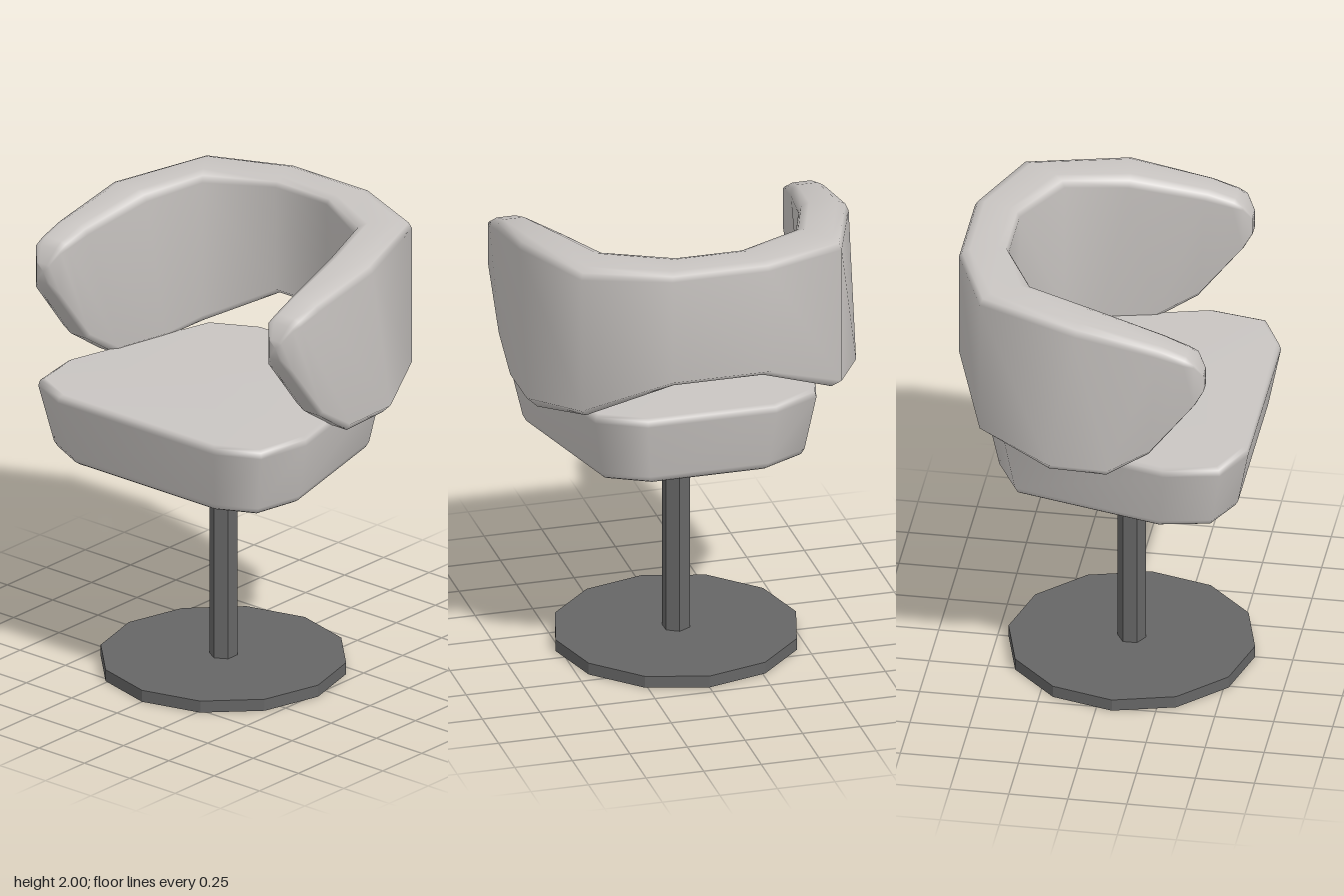
import * as THREE from 'three';

// Skins a list of closed cross-sections and caps both ends, with shared smooth normals.
function loft(rings) {
  const n = rings[0].length;
  const pos = rings.flat().flatMap((p) => [p.x, p.y, p.z]);
  const index = [];
  for (let i = 0; i < rings.length - 1; i++) {
    for (let j = 0; j < n; j++) {
      const a = i * n + j, b = i * n + (j + 1) % n;
      index.push(a, b, b + n, a, b + n, a + n);
    }
  }
  const cap = (ring, start, flip) => {
    const c = ring.reduce((s, p) => s.add(p), new THREE.Vector3()).divideScalar(n);
    const k = pos.length / 3;
    pos.push(c.x, c.y, c.z);
    for (let j = 0; j < n; j++) {
      const a = start + j, b = start + (j + 1) % n;
      index.push(...(flip ? [k, b, a] : [k, a, b]));
    }
  };
  cap(rings[0], 0, true);
  cap(rings[rings.length - 1], (rings.length - 1) * n, false);
  const g = new THREE.BufferGeometry();
  g.setAttribute('position', new THREE.Float32BufferAttribute(pos, 3));
  g.setIndex(index);
  g.computeVertexNormals();
  return g;
}

// Seat cushion: a chamfered trapezoid, tapered downward with rounded rims
function seatGeometry() {
  const half = [[0.43, 0.565], [0.615, 0.475], [0.66, 0.24], [0.48, -0.46], [0.28, -0.565]];
  const outline = [...half, ...half.map(([x, z]) => [-x, z]).reverse()];
  const levels = [[0.965, 0.87], [0.975, 0.893], [1.0, 0.915], [1.25, 1], [1.275, 0.99], [1.285, 0.965]];
  return loft(levels.map(([y, s]) =>
    outline.map(([x, z]) => new THREE.Vector3(x * s, y, 0.065 + z * s))));
}

// Wraparound back: bevelled sections swept from one arm tip to the other
function backGeometry() {
  // outer x, inner x, outer z, inner z, z shift of the lower edge, top y, bottom y
  const half = [
    [0.21, 0.14, -0.63, -0.43, 0, 2.0, 1.475],
    [0.565, 0.42, -0.485, -0.285, 0, 2.0, 1.315],
    [0.715, 0.505, -0.05, -0.02, -0.13, 1.975, 1.253],
    [0.715, 0.56, 0.3, 0.3, -0.23, 1.905, 1.253],
    [0.715, 0.57, 0.41, 0.41, -0.16, 1.865, 1.375],
    [0.71, 0.572, 0.445, 0.445, 0.0, 1.84, 1.63],
    [0.675, 0.605, 0.48, 0.48, 0, 1.775, 1.69],
  ];
  const profile = [
    [0.22, 0], [0, 0.06], [0, 0.94], [0.06, 0.98], [0.22, 1],
    [0.78, 1], [0.94, 0.98], [1, 0.94], [1, 0.06], [0.78, 0],
  ];
  const section = ([ox, ix, oz, iz, dz, top, bottom], side) => profile.map(([u, v]) =>
    new THREE.Vector3(
      side * THREE.MathUtils.lerp(ox, ix, u),
      THREE.MathUtils.lerp(bottom, top, v),
      THREE.MathUtils.lerp(oz, iz, u) + dz * (1 - v)));
  return loft([
    ...half.map((s) => section(s, -1)).reverse(),
    ...half.map((s) => section(s, 1)),
  ]);
}

export function createModel() {
  const upholstery = new THREE.MeshStandardMaterial({ color: 0xc9c5c2 });
  upholstery.name = 'warm grey upholstery';
  const metal = new THREE.MeshStandardMaterial({ color: 0x666666 });
  metal.name = 'dark grey metal';

  const model = new THREE.Group();
  model.name = 'swivelChair';
  const add = (name, geometry, material, y = 0, z = 0) => {
    const mesh = new THREE.Mesh(geometry, material);
    mesh.name = name;
    mesh.position.set(0, y, z);
    model.add(mesh);
  };
  // Faceted cylinder with hard edges
  const prism = (r, h, sides) => {
    const g = new THREE.CylinderGeometry(r, r, h, sides).toNonIndexed();
    g.computeVertexNormals();
    return g;
  };

  // Pedestal
  add('baseDisc', prism(0.522, 0.052, 12), metal, 0.026, 0.068);
  add('post', prism(0.06, 0.94, 6), metal, 0.51, 0.068);

  // Cushions
  add('seat', seatGeometry(), upholstery);
  add('backrest', backGeometry(), upholstery);
  return model;
}
